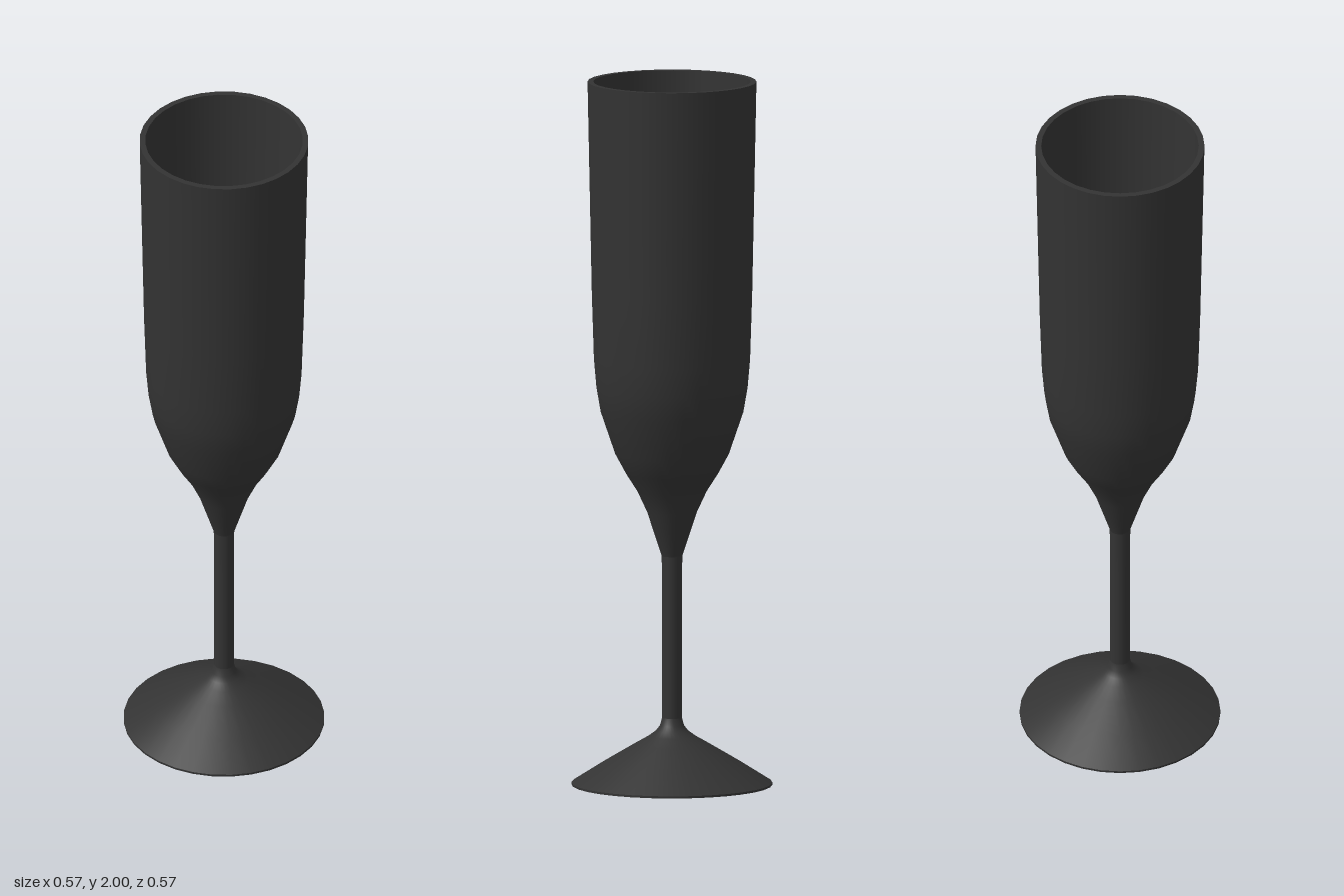
import * as THREE from 'three';

const SEGMENTS = 32;

export function createModel() {
  const glass = new THREE.Group();
  glass.name = 'fluteGlass';
  const material = new THREE.MeshStandardMaterial({ color: 0x333333 });

  // Each surface is its own lathe, so edges between surfaces stay sharp.
  // Profiles are [radius, height]; outer ones rise, inner ones descend.
  function turn(name, profile) {
    const points = profile.map(([r, y]) => new THREE.Vector2(r, y));
    const mesh = new THREE.Mesh(new THREE.LatheGeometry(points, SEGMENTS), material);
    mesh.name = name;
    glass.add(mesh);
  }

  // Foot: cone with a thin edge and a hollow underside
  turn('footEdge', [[0.283, 0], [0.283, 0.006]]);
  turn('footTop', [
    [0.283, 0.006], [0.195, 0.062], [0.106, 0.115], [0.066, 0.138],
    [0.046, 0.153], [0.034, 0.168], [0.028, 0.19],
  ]);
  turn('footUnderside', [[0, 0.125], [0.05, 0.118], [0.106, 0.09], [0.195, 0.045], [0.283, 0]]);

  // Stem
  turn('stem', [[0.028, 0.19], [0.028, 0.5], [0.029, 0.65]]);

  // Bowl: outside, rim, inside and flat floor
  turn('bowlOutside', [
    [0.029, 0.65], [0.07, 0.775], [0.098, 0.835], [0.13, 0.885], [0.16, 0.94],
    [0.201, 1.06], [0.213, 1.13], [0.22, 1.21], [0.226, 1.4], [0.238, 2],
  ]);
  turn('rim', [[0.238, 2], [0.222, 2]]);
  turn('bowlInside', [
    [0.222, 2], [0.21, 1.4], [0.204, 1.21], [0.197, 1.13], [0.185, 1.065],
    [0.145, 0.95], [0.115, 0.895], [0.083, 0.845], [0.055, 0.785], [0.037, 0.73],
  ]);
  turn('bowlFloor', [[0.037, 0.73], [0, 0.73]]);

  return glass;
}
